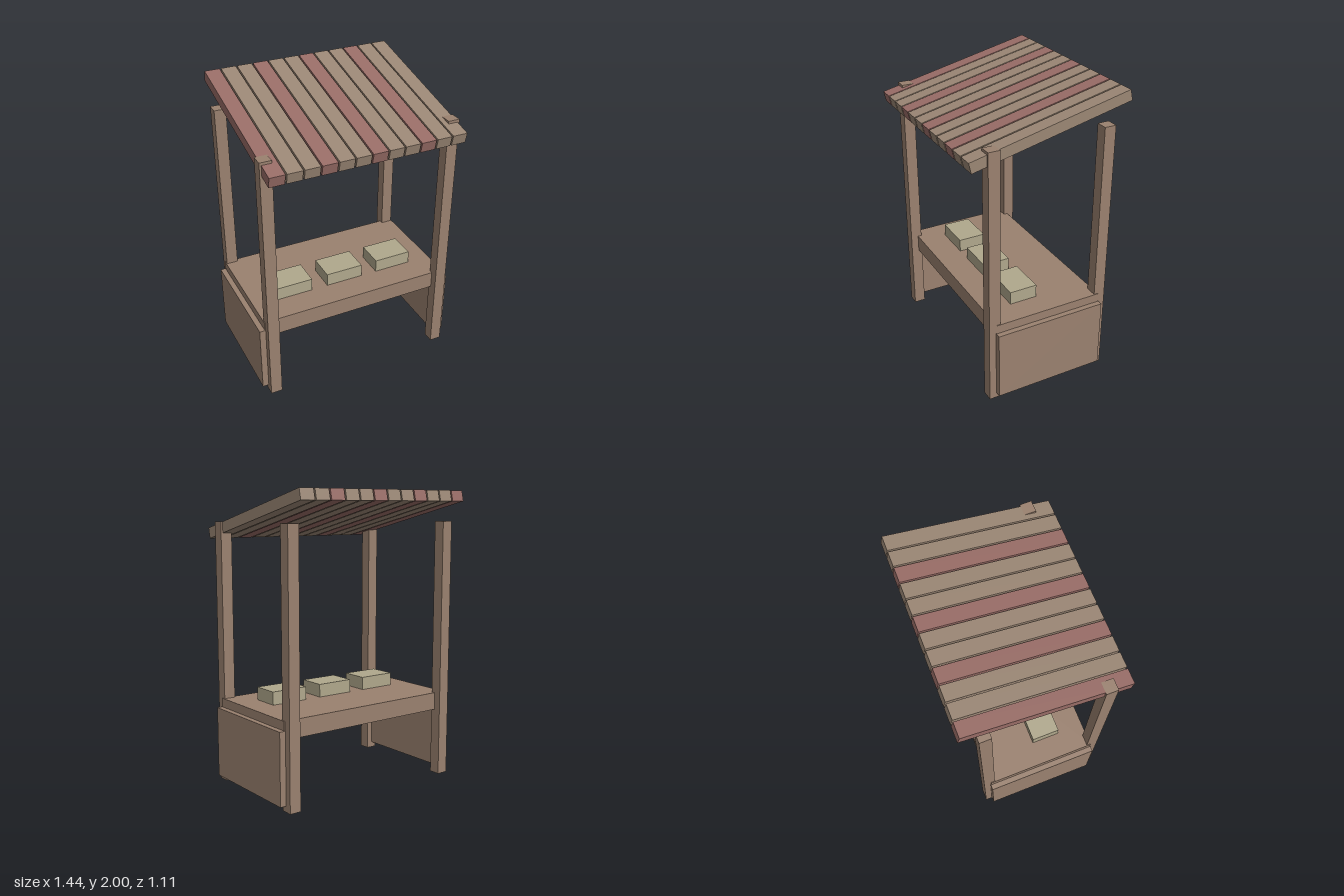
import * as THREE from 'three';

export function createModel() {
  const stall = new THREE.Group();
  stall.name = 'marketStall';

  const paint = (color) => new THREE.MeshStandardMaterial({ color });
  const wood = paint(0x9a816f);
  const slatWood = paint(0x9a8674);
  const slatRed = paint(0x986c66);
  const crateWood = paint(0xb0a88c);

  const box = (name, material, [w, h, d], [x, y, z], parent = stall) => {
    const mesh = new THREE.Mesh(new THREE.BoxGeometry(w, h, d), material);
    mesh.name = name;
    mesh.position.set(x, y, z);
    parent.add(mesh);
    return mesh;
  };

  // Corner posts and side panels
  for (const [side, s] of [['left', 1], ['right', -1]]) {
    box(side + 'FrontPost', wood, [0.08, 1.795, 0.08], [s * 0.64, 0.8975, 0.398]);
    box(side + 'BackPost', wood, [0.08, 1.795, 0.08], [s * 0.64, 0.8975, -0.396]);
    box(side + 'Panel', wood, [0.08, 0.485, 0.78], [s * 0.682, 0.283, 0]);
  }

  // Counter
  box('counter', wood, [1.37, 0.122, 0.77], [0, 0.526, 0]);

  // Crates on the counter
  for (let i = -1; i <= 1; i++) {
    box('crate', crateWood, [0.268, 0.092, 0.195], [i * 0.384 - 0.003, 0.631, 0.098]);
  }

  // Sloping roof of slats, every third one red
  const roof = new THREE.Group();
  roof.name = 'roof';
  roof.position.y = 1.84;
  roof.rotation.x = 0.226;
  stall.add(roof);
  const count = 12;
  for (let i = 0; i < count; i++) {
    const x = (i - (count - 1) / 2) * 0.112;
    box('roofSlat', i % 3 === 0 ? slatRed : slatWood, [0.102, 0.073, 1.12], [x, 0, 0], roof);
  }

  return stall;
}
